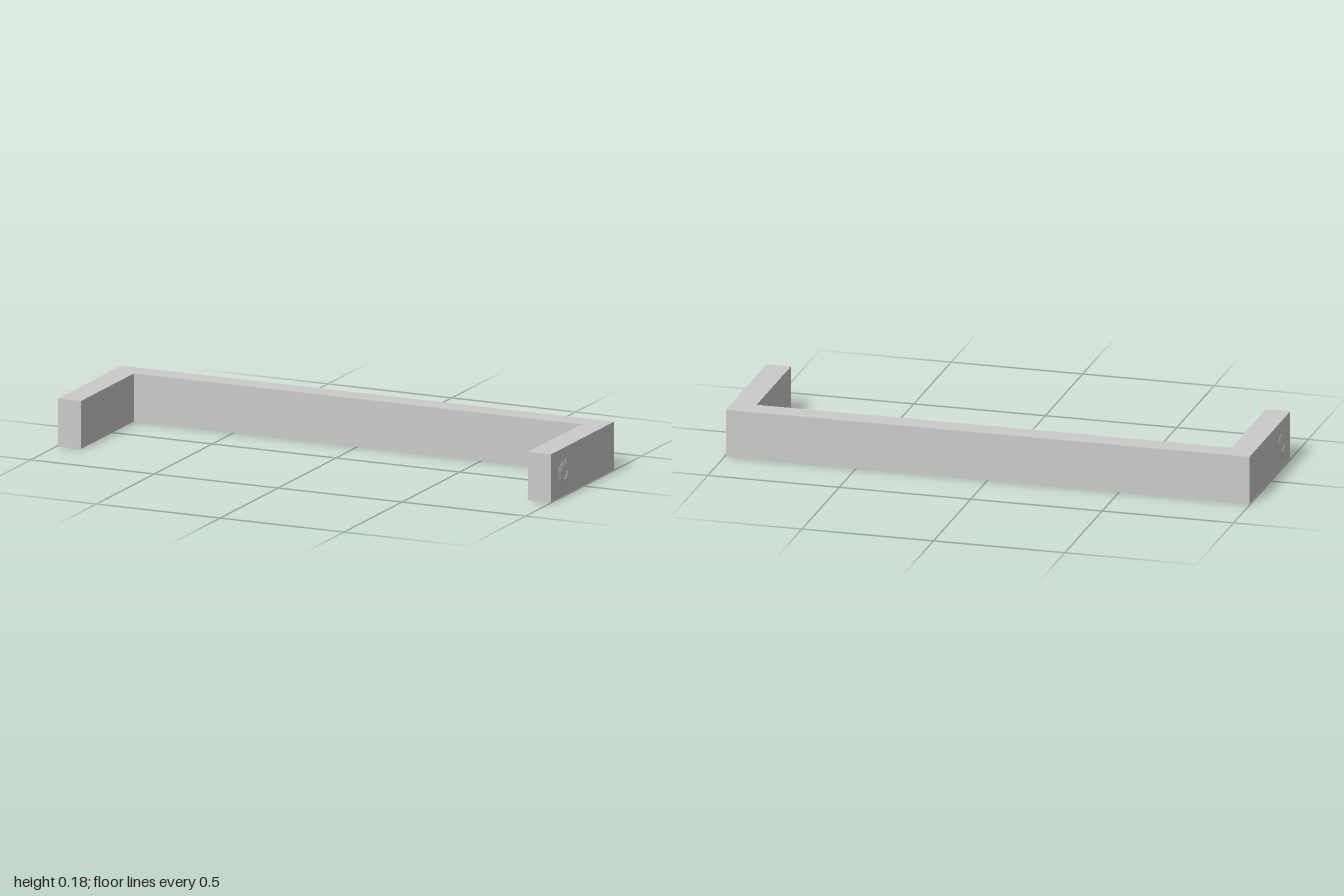
import * as THREE from 'three';

export function createModel() {
  const group = new THREE.Group();
  const material = new THREE.MeshStandardMaterial({ color: 0xcccccc, flatShading: true });

  // U-shaped bar: plan drawn in x and -z, extruded upwards
  const W = 0.996, D = 0.273, H = 0.181, innerX = 0.903, innerZ = 0.187;
  const plan = new THREE.Shape([
    [-W, -D], [-innerX, -D], [-innerX, innerZ], [innerX, innerZ],
    [innerX, -D], [W, -D], [W, D], [-W, D],
  ].map(([x, y]) => new THREE.Vector2(x, y)));
  const barGeometry = new THREE.ExtrudeGeometry(plan, { depth: H, bevelEnabled: false });
  barGeometry.rotateX(-Math.PI / 2);
  const bar = new THREE.Mesh(barGeometry, material);
  bar.name = 'bumperBar';
  group.add(bar);

  // Low octagonal bolt heads with a recessed centre, one on each outer side
  const profile = [
    [0.055, -0.002], [0.055, 0.0005], [0.050, 0.0015], [0.035, 0.004],
    [0.022, 0.004], [0.019, 0.002], [0, 0.002],
  ].map(([r, h]) => new THREE.Vector2(r, h));
  const boltGeometry = new THREE.LatheGeometry(profile, 8, Math.PI / 8);
  for (const side of [1, -1]) {
    const bolt = new THREE.Mesh(boltGeometry, material);
    bolt.name = side > 0 ? 'leftBolt' : 'rightBolt';
    bolt.rotation.z = -side * Math.PI / 2;
    bolt.position.set(side * W, 0.084, 0.161);
    group.add(bolt);
  }
  return group;
}
